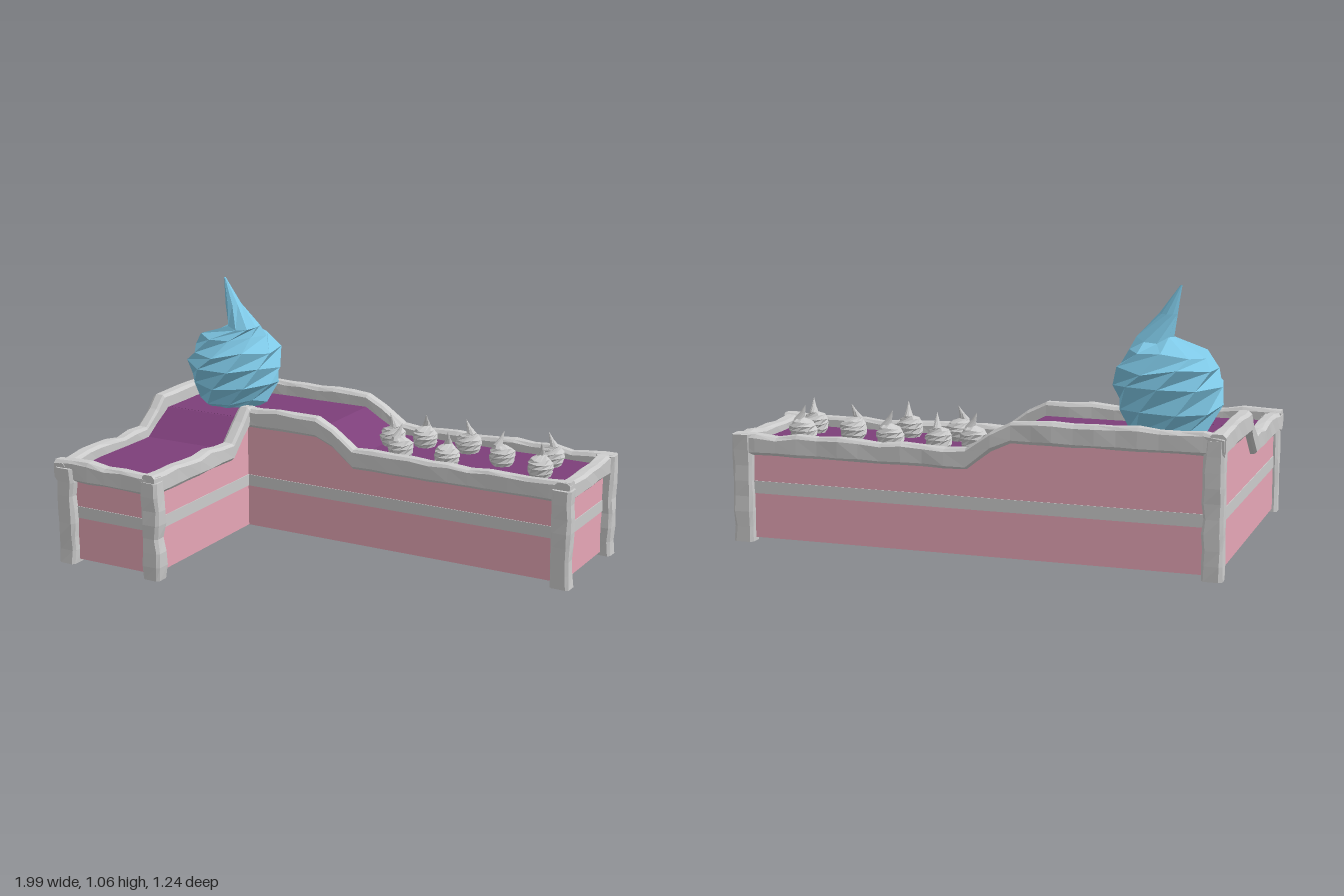
import * as THREE from 'three';

const mat = (color) => new THREE.MeshStandardMaterial({ color, flatShading: true });
const V = (x, y, z) => new THREE.Vector3(x, y, z);

// Small seeded noise, -1..1
let seed = 7;
const noise = () => {
  seed = (seed * 16807) % 2147483647;
  return (seed / 2147483647) * 2 - 1;
};

// Skin a list of equal-length rings and close both ends
function loft(rings) {
  const n = rings[0].length, pos = [], idx = [];
  rings.forEach((r) => r.forEach((p) => pos.push(p.x, p.y, p.z)));
  for (let k = 0; k < rings.length - 1; k++) {
    for (let i = 0; i < n; i++) {
      const a = k * n + i, b = k * n + (i + 1) % n;
      idx.push(a, b, b + n, a, b + n, a + n);
    }
  }
  const last = (rings.length - 1) * n;
  for (let i = 1; i < n - 1; i++) {
    idx.push(0, i + 1, i, last, last + i, last + i + 1);
  }
  const g = new THREE.BufferGeometry();
  g.setAttribute('position', new THREE.Float32BufferAttribute(pos, 3));
  g.setIndex(idx);
  const flat = g.toNonIndexed();
  flat.computeVertexNormals();
  return flat;
}

// Rough stone beam with a chamfered section, s and u spanning the section
function stoneBeam(points, s, u, w, h, step, rough) {
  const path = [points[0]];
  for (let i = 1; i < points.length; i++) {
    const n = Math.max(1, Math.round(points[i].distanceTo(points[i - 1]) / step));
    for (let k = 1; k <= n; k++) path.push(points[i - 1].clone().lerp(points[i], k / n));
  }
  const c = 0.012, a = w / 2, b = h / 2;
  const section = [[a, c - b], [a, b - c], [a - c, b], [c - a, b], [-a, b - c], [-a, c - b], [c - a, -b], [a - c, -b]];
  return loft(path.map((p) => {
    const top = noise() * rough, side = 1 + noise() * 0.1;
    return section.map(([i, j]) => p.clone()
      .addScaledVector(s, i * side + noise() * 0.002)
      .addScaledVector(u, j + (j > 0 ? top : 0) + noise() * 0.002));
  }));
}

// Faceted bulb drawn up into a leaning spike: y, radius, centre x, centre z
function bulbGeometry() {
  const profile = [
    [0, 0.1, 0, 0], [0.045, 0.155, 0, 0], [0.12, 0.2, 0, 0], [0.2, 0.212, 0, 0], [0.27, 0.198, 0, 0],
    [0.325, 0.15, 0, 0], [0.375, 0.072, 0.065, 0.025], [0.47, 0.036, 0.01, 0.02], [0.58, 0.004, -0.04, 0.01],
  ];
  return loft(profile.map(([y, r, cx, cz], k) => Array.from({ length: 9 }, (_, i) => {
    const t = (i + k * 0.5) / 9 * Math.PI * 2;
    const q = r * (1 + noise() * 0.05);
    const lift = k > 0 && k < 7 ? noise() * 0.015 : 0;
    return V(cx + q * Math.sin(t), y + lift, cz + q * Math.cos(t) * 0.95);
  })));
}

const polygon = (pts) => new THREE.Shape(pts.map(([x, y]) => new THREE.Vector2(x, y)));
const extrude = (pts, depth) => new THREE.ExtrudeGeometry(polygon(pts), { depth, bevelEnabled: false });

export function createModel() {
  const model = new THREE.Group();
  const stone = mat(0xcccccc), pink = mat(0xe6a6b6), purple = mat(0x7d3f7a), blue = mat(0x7ec8e6);
  const add = (name, geo, material) => {
    const m = new THREE.Mesh(geo, material);
    m.name = name;
    model.add(m);
    return m;
  };

  // Footprint edges
  const L = -0.97, R = 0.94, B = -0.58, M = -0.13, I = -0.53, F = 0.585;

  // Walls: a long arm and a front arm, each stepping down a ramp
  const longTop = [[R, 0.39], [0, 0.39], [-0.18, 0.49], [L, 0.49]];
  const frontTop = [[F, 0.39], [0.03, 0.39], [-0.12, 0.49], [M, 0.49]];
  const turn = (g) => g.rotateY(-Math.PI / 2).translate(I, 0, 0);
  add('longArmWalls', extrude([[L, 0.02], [R, 0.02], ...longTop], M - B).translate(0, 0, B), pink);
  add('frontArmWalls', turn(extrude([[M, 0.02], [F, 0.02], ...frontTop], I - L)), pink);

  // Floors: thin slabs over the walls' tops
  const slab = (top) => [
    ...top.map(([x, y]) => [x, y + 0.01]).reverse(),
    ...top.map(([x, y]) => [x, y - 0.01]),
  ].reverse();
  add('longArmFloor', extrude(slab(longTop), M - B - 0.01).translate(0, 0, B + 0.005), purple).scale.x = 0.995;
  add('frontArmFloor', turn(extrude(slab(frontTop), I - L - 0.01)).translate(-0.005, 0, -0.003), purple);

  // Stripe around the walls
  const e = 0.003;
  const outline = [[L - e, B - e], [R + e, B - e], [R + e, M + e], [I + e, M + e], [I + e, F + e], [L - e, F + e]];
  add('wallStripe', extrude(outline, 0.05).rotateX(Math.PI / 2).translate(0, 0.25, 0), stone);

  // Stone rails along every edge
  const lo = 0.4, hi = 0.513, up = V(0, 1, 0);
  const rail = (name, pts) => {
    const d = pts[pts.length - 1].clone().sub(pts[0]).setY(0).normalize();
    add(name, stoneBeam(pts, up.clone().cross(d), up, 0.058, 0.082, 0.085, 0.009), stone);
  };
  const alongX = (x0, z) => [V(x0, hi, z), V(-0.18, hi, z), V(-0.1, hi - 0.035, z), V(0, lo, z), V(R + 0.03, lo, z)];
  const alongZ = (x, z0) => [V(x, hi, z0), V(x, hi, -0.1), V(x, hi - 0.04, -0.05), V(x, lo, 0.03), V(x, lo, F + 0.03)];
  rail('backRail', alongX(L - 0.028, B));
  rail('innerLongRail', alongX(I - 0.028, M));
  rail('outerSideRail', alongZ(L, B - 0.028));
  rail('innerSideRail', alongZ(I, M - 0.028));
  rail('frontRail', [V(L - 0.028, lo, F), V(I + 0.028, lo, F)]);
  rail('endRail', [V(R, lo, B - 0.028), V(R, lo, M + 0.028)]);

  // Corner posts on the outward corners
  const post = (name, x, z, top) => add(name,
    stoneBeam([V(x, 0.005, z), V(x, top, z)], V(0, 0, 1), V(1, 0, 0), 0.07, 0.08, 0.06, 0.007), stone);
  post('frontRightPost', L + 0.02, F + 0.002, 0.415);
  post('frontLeftPost', I, F + 0.002, 0.415);
  post('endFrontPost', R, M + 0.008, 0.415);
  post('endBackPost', R, B, 0.44);
  post('backCornerPost', L + 0.012, B, 0.53);

  // Large bulb on the raised corner
  const bulb = bulbGeometry();
  add('largeBulb', bulb, blue).position.set(-0.725, 0.482, -0.342);

  // Small stone bulbs scattered on the lower floor
  const spots = [[0.04, -0.39], [0.17, -0.44], [0.15, -0.25], [0.37, -0.45],
    [0.37, -0.24], [0.57, -0.35], [0.75, -0.44], [0.77, -0.28]];
  spots.forEach(([x, z], i) => {
    const s = add('smallBulb' + (i + 1), bulb, stone);
    s.position.set(x, 0.385, z);
    s.scale.setScalar(0.27);
    s.rotation.y = i * 2.1;
  });

  return model;
}
